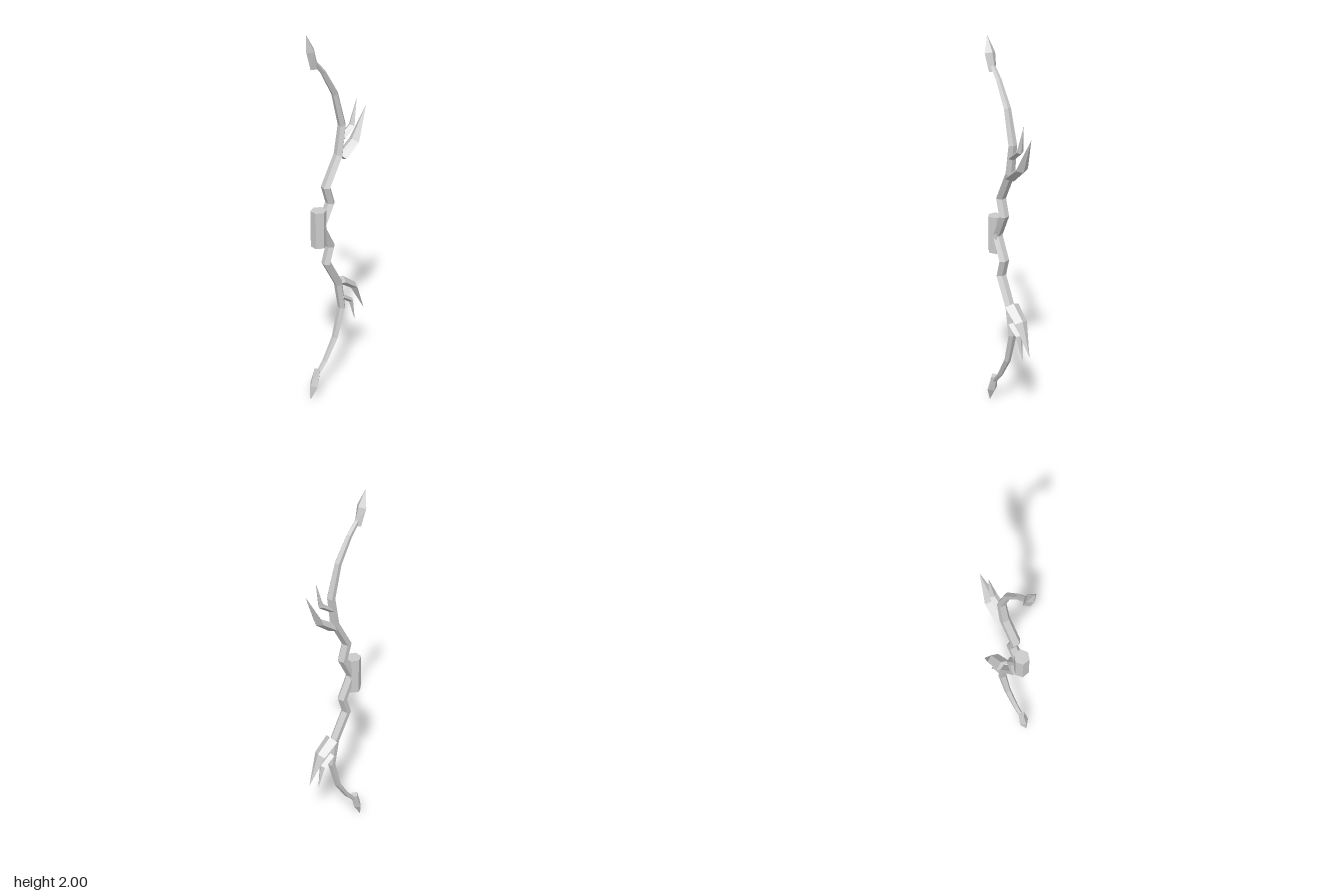
import * as THREE from 'three';

const material = new THREE.MeshStandardMaterial({ color: 0xcccccc, flatShading: true });

// Sweeps a polygon along stations [y, z, halfWidth, halfDepth] lying in the x = 0 plane.
function loft(name, stations, sides, phase = 0) {
  const positions = [], index = [], n = stations.length;
  const dir = (a, b) => new THREE.Vector2(b[1] - a[1], b[0] - a[0]).normalize(); // (z, y)
  stations.forEach((s, r) => {
    const before = r > 0 ? dir(stations[r - 1], s) : dir(s, stations[1]);
    const after = r < n - 1 ? dir(s, stations[r + 1]) : before;
    const t = before.clone().add(after).normalize();
    const mitre = s[3] / t.dot(after);
    for (let i = 0; i < sides; i++) {
      const a = phase + (i / sides) * Math.PI * 2;
      const d = Math.cos(a) * mitre;
      positions.push(Math.sin(a) * s[2], s[0] - t.x * d, s[1] + t.y * d);
    }
  });
  for (let r = 0; r < n - 1; r++) {
    for (let i = 0; i < sides; i++) {
      const j = (i + 1) % sides, a = r * sides, b = a + sides;
      index.push(a + i, a + j, b + j, a + i, b + j, b + i);
    }
  }
  // End caps
  const last = (n - 1) * sides;
  for (let i = 1; i < sides - 1; i++) {
    index.push(0, i + 1, i, last, last + i, last + i + 1);
  }
  const geometry = new THREE.BufferGeometry();
  geometry.setAttribute('position', new THREE.Float32BufferAttribute(positions, 3));
  geometry.setIndex(index);
  geometry.computeVertexNormals();
  const mesh = new THREE.Mesh(geometry, material);
  mesh.name = name;
  return mesh;
}

const flip = (stations) => stations.map(([y, ...rest]) => [2 - y, ...rest]);

export function createModel() {
  const bow = new THREE.Group();
  bow.name = 'bow';

  // Crooked five-sided stave, thinning towards both ends
  const upper = [
    [1.12, 0.045, 0.028, 0.021],
    [1.21, 0.072, 0.028, 0.021],
    [1.36, -0.008, 0.027, 0.021],
    [1.51, -0.03, 0.024, 0.018],
    [1.68, 0.015, 0.019, 0.016],
    [1.8, 0.085, 0.015, 0.013],
    [1.86, 0.136, 0.013, 0.011],
  ];
  const stave = [...flip(upper).reverse(), [1, 0.103, 0.028, 0.019], ...upper];
  bow.add(loft('stave', stave, 5, THREE.MathUtils.degToRad(20)));

  // Hexagonal grip
  const grip = new THREE.Mesh(new THREE.CylinderGeometry(0.04, 0.04, 0.195, 6), material);
  grip.name = 'grip';
  grip.rotation.y = Math.PI / 6;
  grip.position.set(0, 1.003, 0.12);
  bow.add(grip);

  // Diamond-section end points and rear spikes, repeated on both limbs
  const blades = {
    EndPoint: [
      [1.833, 0.138, 0.021, 0.022],
      [1.92, 0.161, 0.03, 0.023],
      [2, 0.184, 0.0005, 0.0005],
    ],
    LargeSpike: [
      [1.345, -0.026, 0.041, 0.022],
      [1.408, -0.108, 0.036, 0.018],
      [1.575, -0.184, 0.0005, 0.0005],
    ],
    SmallSpike: [
      [1.445, -0.03, 0.024, 0.012],
      [1.492, -0.092, 0.02, 0.013],
      [1.625, -0.122, 0.0005, 0.0005],
    ],
  };
  for (const [part, stations] of Object.entries(blades)) {
    bow.add(loft('upper' + part, stations, 4));
    bow.add(loft('lower' + part, flip(stations), 4));
  }

  // Turn the grip so its corners point sideways
  const corner = new THREE.Vector3(0, 0, 1).applyEuler(grip.rotation);
  if (Math.abs(corner.x) < 0.6) grip.rotation.y = Math.PI / 6;
  return bow;
}
